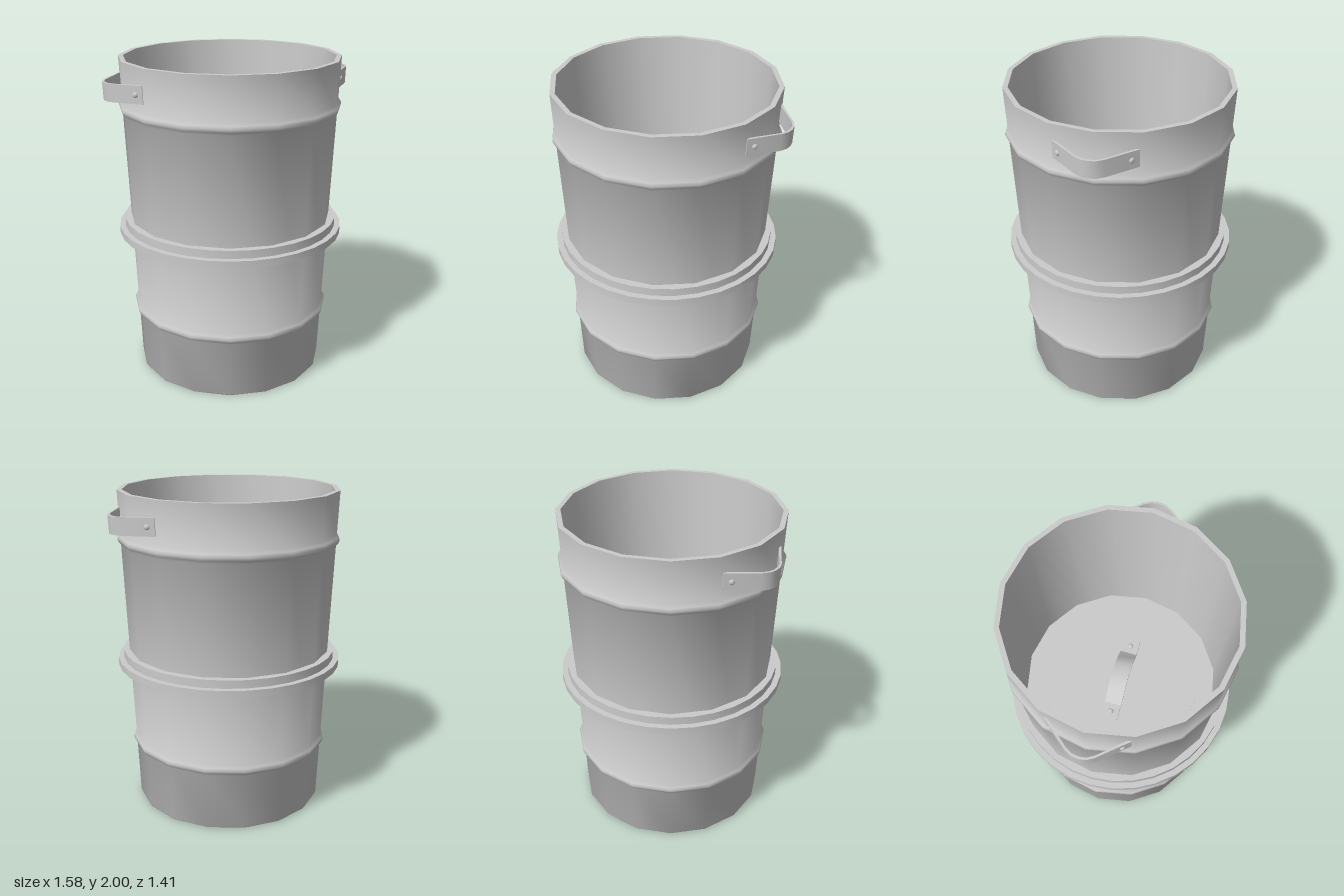
import * as THREE from 'three';
import { toCreasedNormals } from 'three/addons/utils/BufferGeometryUtils.js';

const metal = new THREE.MeshStandardMaterial({ color: 0xcccccc });

function addMesh(parent, name, geometry) {
  const mesh = new THREE.Mesh(geometry, metal);
  mesh.name = name;
  parent.add(mesh);
  return mesh;
}

// Turned part from [radius, height] pairs
function turned(profile, sides) {
  const points = profile.map(([r, y]) => new THREE.Vector2(r, y));
  return toCreasedNormals(new THREE.LatheGeometry(points, sides), 0.85);
}

// Bent strap with a rivet at each end: length along x, bulge along y, width along z.
// The path is the right half, from the middle to the end.
function strapHandle(name, half, width, rivetX, rivetY, rivetTilt) {
  const group = new THREE.Group();
  group.name = name;
  const t = 0.014;
  const path = [...half.slice(1).reverse().map(([x, y]) => [-x, y]), ...half];
  const shape = new THREE.Shape();
  path.forEach(([x, y], i) => (i ? shape.lineTo(x, y) : shape.moveTo(x, y)));
  [...path].reverse().forEach(([x, y]) => shape.lineTo(x * 0.98, y - t));
  const strap = new THREE.ExtrudeGeometry(shape, { depth: width, bevelEnabled: false });
  strap.translate(0, 0, -width / 2);
  addMesh(group, 'strap', toCreasedNormals(strap, 0.6));
  for (const s of [-1, 1]) {
    const rivet = addMesh(group, 'rivet', new THREE.SphereGeometry(0.017, 12, 8));
    rivet.scale.y = 0.6;
    rivet.position.set(s * rivetX, rivetY, 0);
    rivet.rotation.z = -s * rivetTilt;
  }
  return group;
}

export function createModel() {
  const model = new THREE.Group();
  model.name = 'bin';

  // Tapered body with two raised ribs, open at the top
  const wall = (y) => 0.59 + 0.0425 * y;
  const rib = (y) => [[-0.035, 0], [-0.018, 0.014], [0, 0.02], [0.018, 0.014], [0.035, 0]]
    .map(([dy, dr]) => [wall(y + dy) + dr, y + dy]);
  addMesh(model, 'body', turned([
    [0, 0], [0.583, 0], [wall(0.01), 0.01],
    ...rib(0.4), ...rib(1.705),
    [wall(2), 2], [0.645, 2], [0.56, 0.03], [0, 0.03],
  ], 16));

  // Lid resting halfway down, with a stepped rim and a raised centre
  const lid = new THREE.Group();
  lid.name = 'lid';
  model.add(lid);
  addMesh(lid, 'lidPlate', turned([
    [0, 0.985], [0.65, 0.985], [0.65, 0.935], [0.685, 0.935], [0.685, 0.905],
    [0.703, 0.905], [0.703, 0.95], [0.667, 0.95], [0.667, 1],
    [0.49, 1], [0.49, 1.015], [0, 1.015],
  ], 32));
  const lidHandle = strapHandle('lidHandle',
    [[0, 0.1], [0.06, 0.095], [0.11, 0.075], [0.15, 0.035], [0.18, 0.014], [0.28, 0.014]],
    0.106, 0.23, 0.014, 0);
  lidHandle.position.y = 1.015;
  lid.add(lidHandle);

  // Carrying handles on both sides, tipped to follow the taper
  for (const s of [1, -1]) {
    const side = new THREE.Group();
    side.name = s > 0 ? 'leftHandle' : 'rightHandle';
    const handle = strapHandle('handleStrap',
      [[0, 0.166], [0.04, 0.16], [0.08, 0.138], [0.2, 0.035], [0.237, 0.005]],
      0.106, 0.2, 0.036, 0.7);
    const turn = new THREE.Matrix4().makeBasis(
      new THREE.Vector3(0, 0, 1), new THREE.Vector3(1, 0, 0), new THREE.Vector3(0, 1, 0));
    handle.quaternion.setFromRotationMatrix(turn);
    const tilt = new THREE.Group();
    tilt.name = 'handleTilt';
    tilt.position.set(0.62, 1.848, 0);
    tilt.rotation.z = -0.045;
    tilt.add(handle);
    side.add(tilt);
    side.rotation.y = s > 0 ? 0 : Math.PI;
    model.add(side);
  }

  return model;
}
